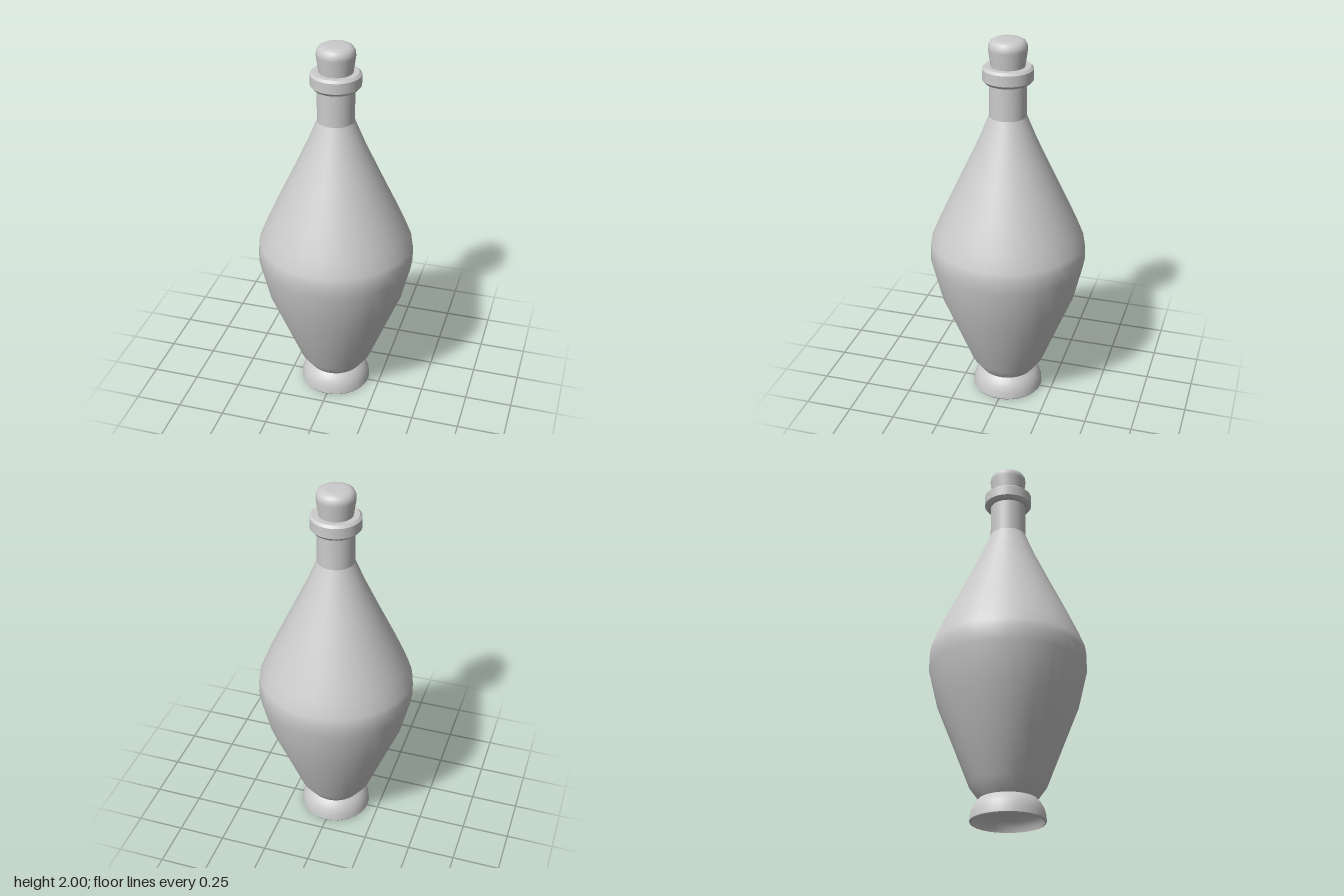
import * as THREE from 'three';
import { mergeGeometries } from 'three/addons/utils/BufferGeometryUtils.js';

const SEGMENTS = 32;
const material = new THREE.MeshStandardMaterial({ color: 0xcccccc });

// Revolves several [radius, height] profiles; each is smooth, with sharp edges between them.
function turned(name, ...profiles) {
  const parts = profiles.map((profile) =>
    new THREE.LatheGeometry(profile.map(([r, y]) => new THREE.Vector2(r, y)), SEGMENTS));
  const mesh = new THREE.Mesh(mergeGeometries(parts), material);
  mesh.name = name;
  return mesh;
}

export function createModel() {
  const bottle = new THREE.Group();
  bottle.name = 'bottle';

  // Flared foot: domed outside, thin rim, hollow underneath
  bottle.add(turned('foot',
    [[0.19, 0.008], [0.187, 0.04], [0.178, 0.07], [0.163, 0.097], [0.143, 0.118]],
    [[0.18, 0], [0.186, 0.002], [0.19, 0.008]],
    [[0, 0.105], [0.07, 0.1], [0.125, 0.082], [0.16, 0.05], [0.175, 0.02], [0.18, 0]]));

  // Swelling body narrowing to the shoulder
  bottle.add(turned('body',
    [[0.143, 0.115], [0.196, 0.188], [0.28, 0.4], [0.36, 0.6], [0.408, 0.8], [0.408, 0.875],
      [0.402, 0.915], [0.37, 0.995], [0.323, 1.1], [0.238, 1.28], [0.148, 1.475], [0.095, 1.605]]));

  // Straight neck
  bottle.add(turned('neck', [[0.095, 1.605], [0.095, 1.79]]));

  // Bevelled lip with an opening for the stopper
  bottle.add(turned('lip',
    [[0.095, 1.782], [0.115, 1.782]],
    [[0.115, 1.782], [0.128, 1.797]],
    [[0.128, 1.797], [0.128, 1.852]],
    [[0.128, 1.852], [0.115, 1.864]],
    [[0.115, 1.864], [0.086, 1.864]],
    [[0.086, 1.864], [0.086, 1.79]]));

  // Tapered stopper with a rounded top
  bottle.add(turned('stopper',
    [[0, 1.79], [0.08, 1.79]],
    [[0.08, 1.79], [0.086, 1.865], [0.098, 1.95], [0.096, 1.97], [0.087, 1.987],
      [0.07, 1.997], [0.045, 2], [0, 2]]));

  return bottle;
}
